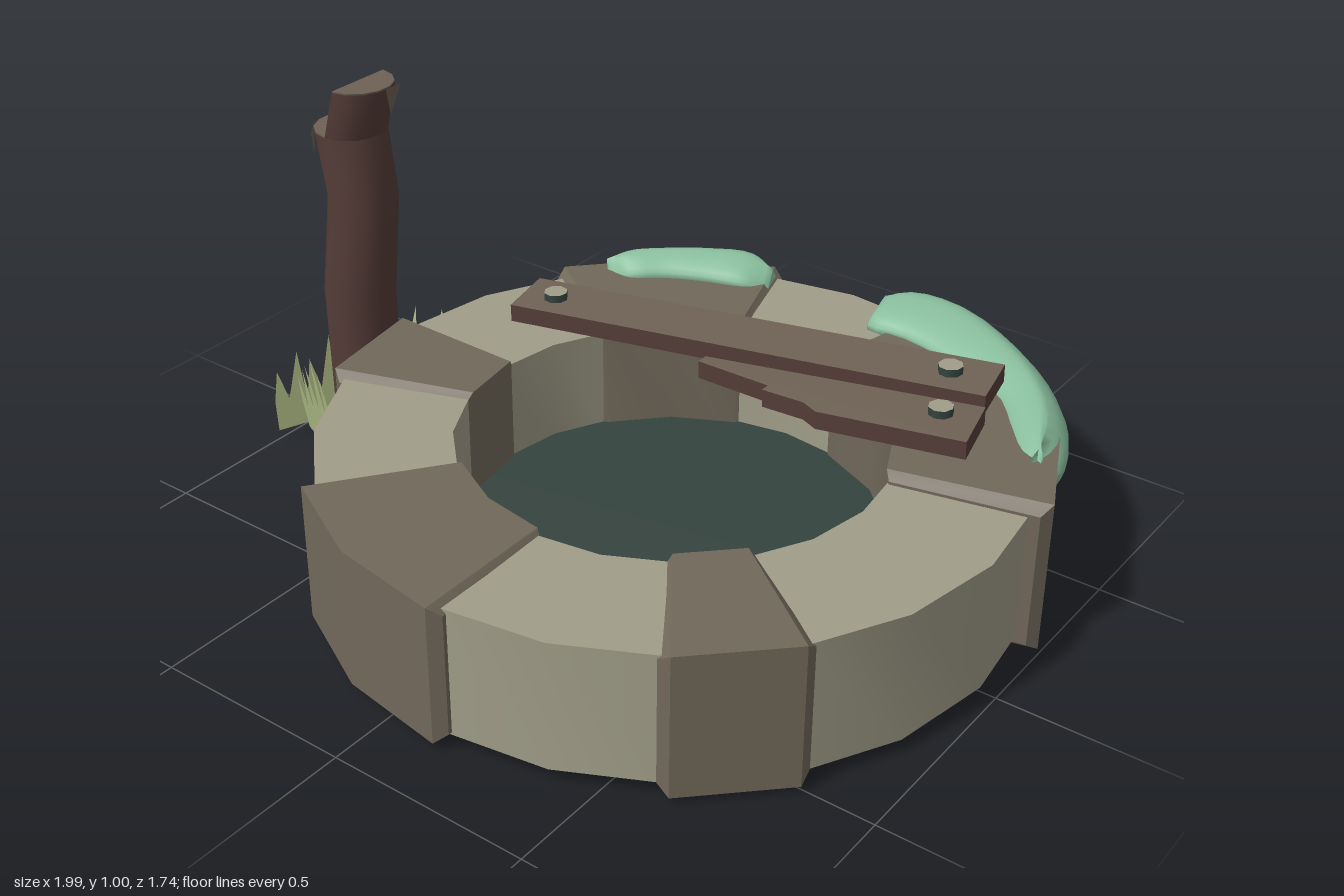
import * as THREE from 'three';
import { toCreasedNormals } from 'three/addons/utils/BufferGeometryUtils.js';

const V = (x, y, z) => new THREE.Vector3(x, y, z);
const RAD = Math.PI / 180;
const CX = 0.145, CZ = 0.005; // centre of the stone ring

const mat = (name, color, side = THREE.FrontSide) => {
  const m = new THREE.MeshStandardMaterial({ color, side });
  m.name = name;
  return m;
};

const polar = (deg, r, y) => V(CX + r * Math.cos(deg * RAD), y, CZ + r * Math.sin(deg * RAD));

// Capped skin through equal-length loops that turn anticlockwise about the sweep direction
function loft(loops, crease) {
  const n = loops[0].length, last = (loops.length - 1) * n, index = [];
  for (let s = 0; s < loops.length - 1; s++) {
    for (let i = 0; i < n; i++) {
      const a = s * n + i, b = s * n + (i + 1) % n;
      index.push(a, b, b + n, a, b + n, a + n);
    }
  }
  for (let i = 1; i < n - 1; i++) {
    index.push(0, i + 1, i, last, last + i, last + i + 1);
  }
  const g = new THREE.BufferGeometry().setFromPoints(loops.flat());
  g.setIndex(index);
  return toCreasedNormals(g, crease);
}

// Curved stone block; bevel narrows both ends
function stone(a0, a1, ri, ro, y0, y1, segs, bevel) {
  const section = (a, d) => [
    polar(a, ri + d * 0.5, y0 + d), polar(a, ro - d, y0 + d),
    polar(a, ro - d, y1 - d), polar(a, ri + d * 0.5, y1 - d),
  ];
  const edge = bevel ? 1.8 : 0, loops = [];
  if (bevel) loops.push(section(a0, bevel));
  for (let i = 0; i <= segs; i++) {
    loops.push(section(a0 + edge + (a1 - a0 - 2 * edge) * i / segs, 0));
  }
  if (bevel) loops.push(section(a1, bevel));
  return loft(loops, 0.5);
}

// Soft clump draped over the rim; stations are [angle, inner r, outer r, low y, top y]
function moss(stations) {
  const path = (k) => new THREE.CatmullRomCurve3(stations.map((s) => V(s[0], s[k], s[k + 1])));
  const inner = path(1), lower = path(3), loops = [];
  for (let i = 0; i <= 20; i++) {
    const p = inner.getPoint(i / 20), q = lower.getPoint(i / 20);
    const a = p.x, ri = p.y, ro = p.z, lo = q.y, hi = q.z;
    const profile = [
      [ri, hi - 0.05], [0.83, Math.max(lo, 0.28)], [0.83, lo + 0.01], [ro - 0.03, lo],
      [ro, lo + (hi - lo) * 0.35], [ro, hi - 0.06], [ro - 0.05, hi - 0.005],
      [(ri + ro) / 2, hi], [ri + 0.02, hi - 0.02],
    ];
    const curve = new THREE.CatmullRomCurve3(profile.map(([r, y]) => polar(a, r, y)), true);
    loops.push(curve.getPoints(24).slice(0, 24));
  }
  return loft(loops, 1.6);
}

// Upright tuft of jagged blades
function tuft(w, heights) {
  const s = new THREE.Shape(), step = w / heights.length;
  s.moveTo(0, 0);
  heights.forEach((h, i) => {
    s.lineTo(i * step, h * 0.5);
    s.lineTo((i + 0.35 + 0.3 * (i % 2)) * step, h);
    s.lineTo((i + 0.85) * step, h * 0.5);
  });
  s.lineTo(w, 0);
  return new THREE.ShapeGeometry(s);
}

// Flat board from an outline of [x, z] points
function board(points, thick) {
  const s = new THREE.Shape(points.map(([x, z]) => new THREE.Vector2(x, -z)));
  return new THREE.ExtrudeGeometry(s, { depth: thick, bevelEnabled: false }).rotateX(-Math.PI / 2);
}

export function createModel() {
  const root = new THREE.Group();
  root.name = 'oldWell';
  const paleStone = mat('pale stone', 0xa09d88);
  const darkStone = mat('dark stone', 0x71685a);
  const water = mat('dark water', 0x35443f, THREE.DoubleSide);
  const bark = mat('bark', 0x543c37);
  const cutWood = mat('cut wood', 0x6e6255, THREE.DoubleSide);
  const mossGreen = mat('moss', 0x8abf9e);
  const grassGreen = mat('grass', 0xaebb84, THREE.DoubleSide);

  const add = (name, geo, material, parent = root) => {
    const m = new THREE.Mesh(geo, material);
    m.name = name;
    parent.add(m);
    return m;
  };

  // Pale stones fill the gaps of the ring
  [[126, 162, 2], [54, 90, 2], [-16, 37, 3], [-110, -75, 2], [180, 216, 2]].forEach(([a, b, n]) =>
    add('paleStone', stone(a, b, 0.51, 0.83, 0.035, 0.355, n, 0), paleStone));

  // Larger dark stones stand proud of them
  [
    [160, 183, 0.02, 0.37, 0.858, 1], [88, 128.5, 0.02, 0.367, 0.858, 2],
    [34.5, 56.5, 0.015, 0.37, 0.85, 1], [-78, -12.5, 0, 0.384, 0.873, 3],
    [212.5, 253.5, 0.02, 0.37, 0.86, 2],
  ].forEach(([a, b, y0, y1, ro, n]) =>
    add('darkStone', stone(a, b, 0.5, ro, y0, y1, n, 0.022), darkStone));

  // Water surface inside the ring
  add('water', new THREE.CircleGeometry(0.515, 36).rotateX(-Math.PI / 2), water)
    .position.set(CX, 0.1, CZ);

  // Moss clumps
  add('largeMoss', moss([
    [-84, 0.74, 0.84, 0.29, 0.41], [-81, 0.67, 0.88, 0.18, 0.425], [-73, 0.69, 0.915, 0.14, 0.43],
    [-60, 0.72, 0.915, 0.13, 0.425], [-47, 0.76, 0.91, 0.17, 0.42], [-36, 0.76, 0.895, 0.22, 0.42],
    [-28, 0.77, 0.87, 0.28, 0.41], [-25, 0.8, 0.85, 0.32, 0.4],
  ]), mossGreen);
  add('smallMoss', moss([
    [221.5, 0.8, 0.86, 0.29, 0.395], [225, 0.76, 0.88, 0.2, 0.415], [232, 0.75, 0.885, 0.14, 0.42],
    [240, 0.735, 0.89, 0.12, 0.42], [248, 0.725, 0.89, 0.17, 0.415], [252.5, 0.75, 0.85, 0.28, 0.395],
  ]), mossGreen);

  // Planks with pale faces and dark edges
  const nail = (x, y, z, parent) => add('nail',
    new THREE.CylinderGeometry(0.03, 0.03, 0.025, 8), [water, paleStone, water], parent)
    .position.set(x, y, z);

  const longPlank = new THREE.Group();
  longPlank.name = 'longPlank';
  longPlank.position.set(0.094, 0.39, -0.37);
  longPlank.rotation.set(0, 0.217, 0.028);
  add('plankBoard', board([[-0.607, -0.08], [0.607, -0.08], [0.607, 0.08], [-0.607, 0.08]], 0.045),
    [cutWood, bark], longPlank);
  nail(-0.518, 0.052, 0.005, longPlank);
  nail(0.5, 0.052, 0, longPlank);
  root.add(longPlank);

  const brokenPlank = new THREE.Group();
  brokenPlank.name = 'brokenPlank';
  brokenPlank.position.y = 0.375;
  brokenPlank.rotation.z = 0.03;
  add('brokenBoard', board([
    [0.06, -0.235], [0.72, -0.395], [0.76, -0.235], [0.415, -0.16],
    [0.37, -0.18], [0.26, -0.176], [0.26, -0.2], [0.06, -0.205],
  ], 0.045), [cutWood, bark], brokenPlank);
  nail(0.65, 0.052, -0.315, brokenPlank);
  root.add(brokenPlank);

  // Crooked post; arc 1 gives a full ring, 0.5 the half towards +x
  const ring = (cx, y, r, arc = 1) => Array.from({ length: arc === 1 ? 14 : 8 }, (_, i) => {
    const a = arc === 1 ? i / 14 * 2 * Math.PI : i / 7 * Math.PI;
    return V(cx + r * Math.sin(a), y, 0.015 + r * Math.cos(a));
  });
  const post = new THREE.Group();
  post.name = 'post';
  add('trunk', loft([
    ring(-0.822, 0.02, 0.086), ring(-0.826, 0.43, 0.09), ring(-0.793, 0.7, 0.087), ring(-0.82, 0.87, 0.09),
  ], 0.7), bark, post);
  add('trunkCut', loft([ring(-0.82, 0.87, 0.089), ring(-0.82, 0.874, 0.089)], 0.5), cutWood, post);
  add('splinter', loft([ring(-0.82, 0.87, 0.09, 0.5), ring(-0.787, 0.993, 0.088, 0.5)], 0.7), bark, post);
  add('splinterCut', loft([ring(-0.787, 0.993, 0.087, 0.5), ring(-0.786, 0.997, 0.087, 0.5)], 0.5), cutWood, post);

  // Notches of bare wood
  [
    [V(-0.697, 0.995, 0.014), V(-0.711, 0.92, -0.012), V(-0.697, 0.995, -0.038)],
    [V(-0.915, 0.873, 0.04), V(-0.885, 0.805, 0.08), V(-0.865, 0.873, 0.105)],
  ].forEach((p) => {
    const g = new THREE.BufferGeometry().setFromPoints(p);
    g.computeVertexNormals();
    add('notch', g, cutWood, post);
  });
  root.add(post);

  // Grass tufts: [x, z, turn, lean, width, blade heights]
  [
    [-0.93, 0.13, -0.38, 0.16, 0.215, [0.17, 0.22, 0.25, 0.3, 0.27]],
    [-0.87, -0.12, 0.3, -0.16, 0.15, [0.18, 0.26, 0.22, 0.27]],
    [-0.98, 0.19, 1.2, -0.14, 0.23, [0.16, 0.2, 0.17, 0.22, 0.18]],
  ].forEach(([x, z, turn, lean, w, h]) => {
    const t = add('grassTuft', tuft(w, h), grassGreen);
    t.position.set(x, 0.04, z);
    t.rotation.set(lean, turn, 0, 'YXZ');
  });

  return root;
}
